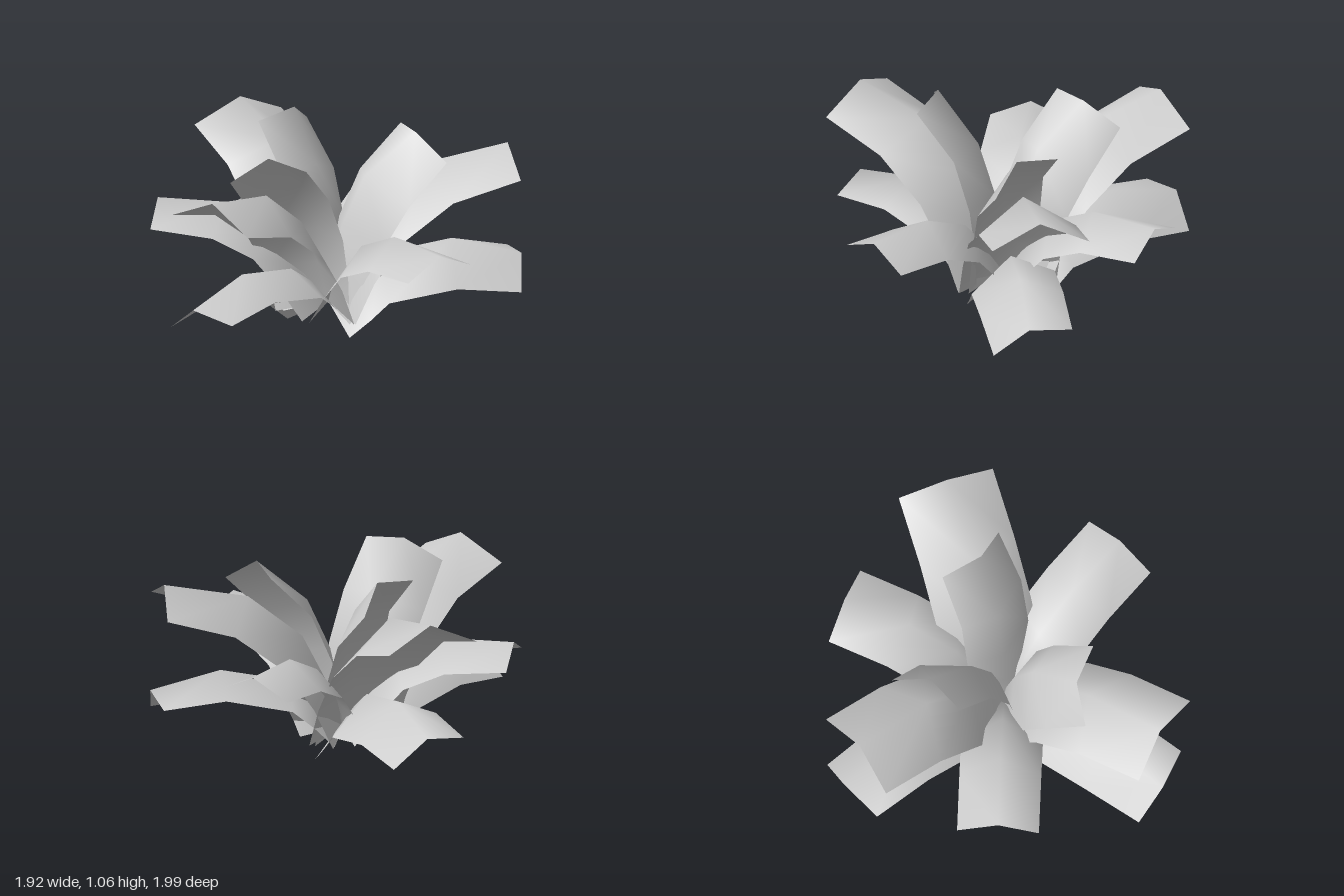
import * as THREE from 'three';

const CENTRE = { x: 0.046, z: -0.016 };
const material = new THREE.MeshStandardMaterial({ color: 0xcccccc, side: THREE.DoubleSide });

// A lengthwise line of a leaf, root to tip: side is the sideways offset, tip the
// offset of its last point, path holds [distance outwards, height].
const line = (side, tip, path) =>
  path.map(([out, y], i) => new THREE.Vector3(out, y, i === path.length - 1 ? tip : side));

const mirrored = (edge) => edge.map((p) => new THREE.Vector3(p.x, p.y, -p.z));

// A ridged leaf blade: rows of three points (edge, ridge, edge) joined into quads
function leafGeometry(lines) {
  const rows = lines[0].length;
  const points = [];
  const index = [];
  for (let i = 0; i < rows; i++) lines.forEach((l) => points.push(l[i]));
  for (let i = 0; i < rows - 1; i++) {
    for (let j = 0; j < 2; j++) {
      const a = i * 3 + j;
      index.push(a, a + 1, a + 3, a + 1, a + 4, a + 3);
    }
  }
  const geometry = new THREE.BufferGeometry().setFromPoints(points);
  geometry.setIndex(index);
  geometry.computeVertexNormals();
  return geometry;
}

// Three leaves at the given headings (degrees, 0 = +x, 90 = +z)
function addRing(plant, name, headings, lines) {
  const geometry = leafGeometry(lines);
  headings.forEach((heading, i) => {
    const leaf = new THREE.Mesh(geometry, material);
    leaf.name = `${name}${i + 1}`;
    leaf.position.set(CENTRE.x, 0, CENTRE.z);
    leaf.rotation.y = -THREE.MathUtils.degToRad(heading);
    plant.add(leaf);
  });
}

export function createModel() {
  const plant = new THREE.Group();
  plant.name = 'leafyPlant';

  // Low leaves, rolled to one side
  addRing(plant, 'lowLeaf', [-56, 84, 194], [
    line(-0.23, -0.235, [[0.07, 0.09], [0.18, 0.2], [0.29, 0.29], [0.64, 0.36], [0.97, 0.32]]),
    line(0, 0, [[0, 0.13], [0.13, 0.28], [0.28, 0.39], [0.65, 0.46], [1.02, 0.36]]),
    line(0.21, 0.185, [[0.09, 0], [0.2, 0.09], [0.3, 0.185], [0.66, 0.25], [1, 0.21]]),
  ]);

  // Middle leaves, symmetric
  const middleEdge = line(0.215, 0.215, [[0.1, 0.09], [0.22, 0.26], [0.36, 0.42], [0.58, 0.52], [0.91, 0.55]]);
  const middleRidge = line(0, 0, [[0, 0.13], [0.12, 0.33], [0.27, 0.52], [0.54, 0.65], [0.91, 0.65]]);
  addRing(plant, 'middleLeaf', [0, 140.5, 251], [mirrored(middleEdge), middleRidge, middleEdge]);

  // High leaves, symmetric and wider
  const highEdge = line(0.26, 0.26, [[0.1, 0.09], [0.2, 0.31], [0.35, 0.53], [0.62, 0.735], [0.98, 0.84]]);
  const highRidge = line(0, 0, [[0, 0.13], [0.09, 0.38], [0.22, 0.64], [0.51, 0.875], [0.955, 0.96]]);
  addRing(plant, 'highLeaf', [-60, 79.5, 191], [mirrored(highEdge), highRidge, highEdge]);

  // Steep inner leaves, rolled and twisted towards the tip
  addRing(plant, 'innerLeaf', [-57, 83, 197], [
    line(-0.18, -0.225, [[0.03, 0.1], [0.04, 0.31], [0.08, 0.54], [0.19, 0.8], [0.41, 1.03]]),
    line(0.015, 0, [[0, 0.13], [0.02, 0.33], [0.07, 0.56], [0.19, 0.83], [0.46, 1.06]]),
    line(0.2, 0.135, [[0.09, 0.07], [0.17, 0.26], [0.27, 0.49], [0.4, 0.71], [0.61, 0.93]]),
  ]);

  return plant;
}
